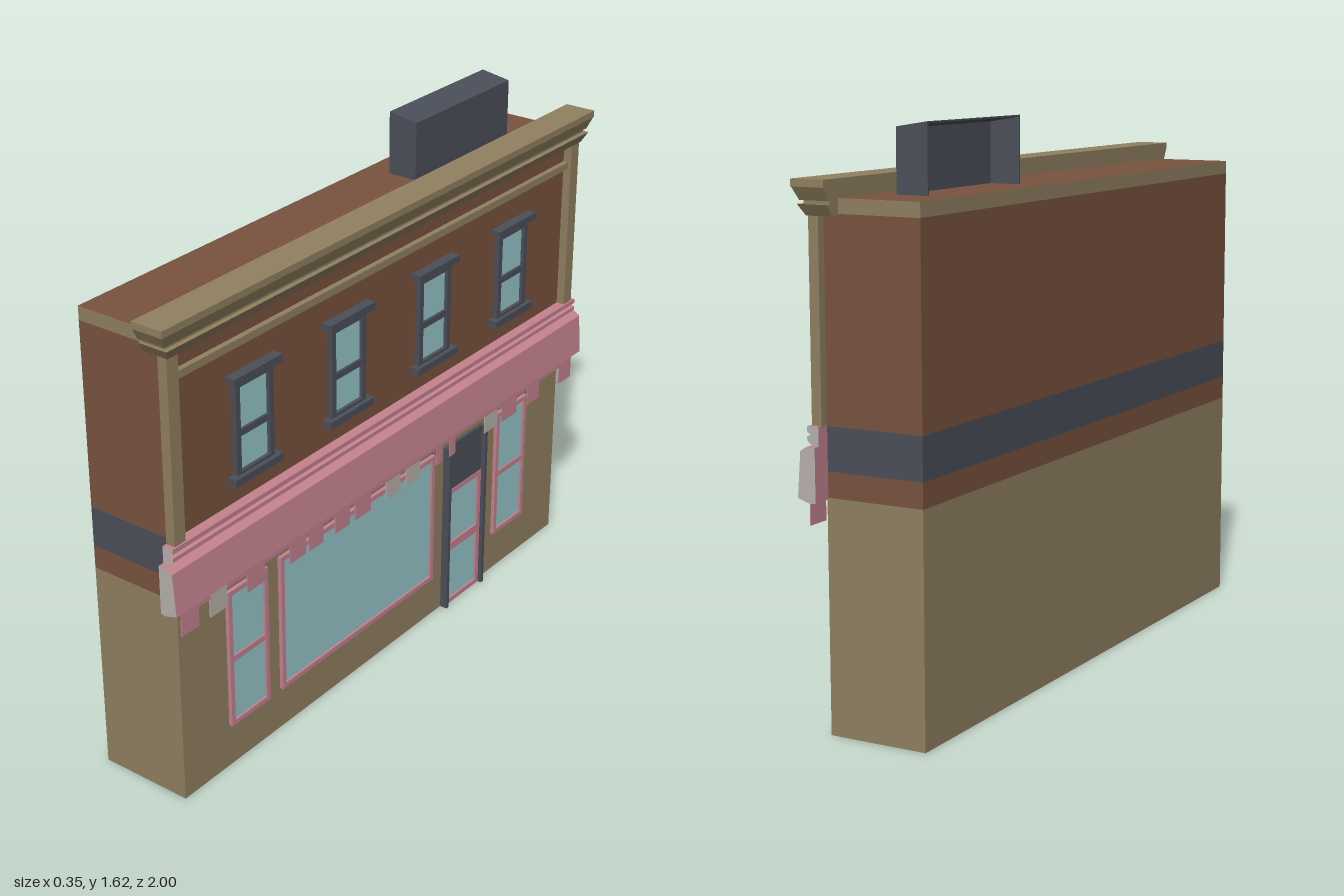
import * as THREE from 'three';

const mat = (name, color, side = THREE.FrontSide) => {
  const m = new THREE.MeshStandardMaterial({ color, side });
  m.name = name;
  return m;
};

export function createModel() {
  const root = new THREE.Group();
  root.name = 'shopBuilding';
  const tan = mat('tanStone', 0x918061);
  const brick = mat('brownBrick', 0x795340);
  const pink = mat('pinkPaint', 0xc5838f);
  const slate = mat('slateGrey', 0x4b4f59, THREE.DoubleSide);
  const glass = mat('paleBlueGlass', 0x96c7ca);
  const grey = mat('lightGrey', 0xb8b2ac);
  const WALL = 0.118;

  const add = (parent, name, geo, material) => {
    const mesh = new THREE.Mesh(geo, material);
    mesh.name = name;
    parent.add(mesh);
    return mesh;
  };
  // Box given by its limits on each axis
  const box = (parent, name, material, x0, x1, y0, y1, z0, z1) => {
    const geo = new THREE.BoxGeometry(x1 - x0, y1 - y0, z1 - z0);
    geo.translate((x0 + x1) / 2, (y0 + y1) / 2, (z0 + z1) / 2);
    return add(parent, name, geo, material);
  };
  // Profile in x,y run along z
  const run = (parent, name, materials, points, z0, z1) => {
    const shape = new THREE.Shape(points.map(([x, y]) => new THREE.Vector2(x, y)));
    const geo = new THREE.ExtrudeGeometry(shape, { depth: z1 - z0, bevelEnabled: false });
    geo.translate(0, 0, z0);
    return add(parent, name, geo, materials);
  };
  // Rectangular frame of four bars standing on the facade
  const frame = (parent, name, material, x0, x1, y0, y1, z0, z1, t) => {
    box(parent, name + 'Bottom', material, x0, x1, y0, y0 + t, z0, z1);
    box(parent, name + 'Top', material, x0, x1, y1 - t, y1, z0, z1);
    box(parent, name + 'SideA', material, x0, x1, y0 + t, y1 - t, z0, z0 + t);
    box(parent, name + 'SideB', material, x0, x1, y0 + t, y1 - t, z1 - t, z1);
  };
  const group = (name) => {
    const g = new THREE.Group();
    g.name = name;
    root.add(g);
    return g;
  };

  // Main block in horizontal bands, with a brick roof
  const body = group('walls');
  [
    ['groundWall', tan, 0, 0.645], ['lowerBrickBand', brick, 0.645, 0.715],
    ['slateBand', slate, 0.715, 0.835], ['upperWall', brick, 0.835, 1.385],
    ['parapetBand', [tan, tan, brick, tan, tan, tan], 1.385, 1.425],
  ].forEach(([name, m, y0, y1]) => box(body, name, m, -0.175, WALL, y0, y1, -0.935, 0.935));

  // Cornice: slabs whose lower edge draws in at the front and ends
  const cornice = group('cornice');
  [
    [1.455, 1.475, 0.17, 0.17, 1, 1], [1.42, 1.455, 0.157, 0.169, 0.98, 0.998],
    [1.41, 1.42, 0.15, 0.15, 0.972, 0.972], [1.38, 1.41, 0.15, 0.165, 0.962, 0.98],
  ].forEach(([y0, y1, xLow, xTop, zLow, zTop]) => {
    const slab = box(cornice, 'corniceSlab', tan, 0, 1, y0, y1, -1, 1);
    const p = slab.geometry.attributes.position;
    for (let i = 0; i < p.count; i++) {
      const top = p.getY(i) > (y0 + y1) / 2;
      p.setX(i, p.getX(i) > 0.5 ? (top ? xTop : xLow) : 0.07);
      p.setZ(i, p.getZ(i) * (top ? zTop : zLow));
    }
    slab.geometry.computeVertexNormals();
  });
  box(cornice, 'friezeMoulding', tan, WALL, 0.135, 1.3, 1.322, -0.918, 0.918);

  // Corner pilasters
  for (const s of [-1, 1]) {
    const a = s * 0.918, b = s * 0.96;
    box(root, 'pilaster', tan, 0.115, 0.145, 0.835, 1.385, Math.min(a, b), Math.max(a, b));
  }

  // Upper sash windows
  for (const z of [0.615, 0.205, -0.21, -0.62]) {
    const w = group('upperWindow');
    box(w, 'glass', glass, WALL, 0.124, 0.92, 1.2, z - 0.06, z + 0.06);
    frame(w, 'frame', slate, WALL, 0.135, 0.915, 1.2, z - 0.078, z + 0.078, 0.018);
    box(w, 'middleRail', slate, WALL, 0.132, 1.035, 1.055, z - 0.06, z + 0.06);
    box(w, 'lintel', slate, WALL, 0.15, 1.2, 1.222, z - 0.1, z + 0.1);
    box(w, 'sill', slate, WALL, 0.148, 0.902, 0.924, z - 0.1, z + 0.1);
  }

  // Shopfront awning with grey ends and a moulding above it
  const awning = group('awning');
  run(awning, 'awningBoard', [grey, pink],
    [[0.115, 0.64], [0.132, 0.638], [0.17, 0.65], [0.16, 0.775], [0.142, 0.787], [0.115, 0.787]],
    -0.993, 0.993);
  run(awning, 'awningMoulding', [grey, pink],
    [[0.115, 0.787], [0.135, 0.787], [0.15, 0.8], [0.15, 0.812], [0.138, 0.816], [0.15, 0.824],
      [0.15, 0.838], [0.115, 0.838]],
    -0.975, 0.975);

  // Hanging flaps under the awning: start and end along z
  const flaps = (name, material, list) => list.forEach(([z1, z0]) =>
    box(awning, name, material, 0.157, 0.16, 0.57, 0.648, z0, z1));
  flaps('pinkFlap', pink, [
    [0.965, 0.895], [0.695, 0.62], [0.51, 0.44], [0.425, 0.36], [0.305, 0.235], [0.21, 0.135],
    [-0.195, -0.225], [-0.265, -0.295], [-0.55, -0.635], [-0.7, -0.765], [-0.885, -0.955],
  ]);
  flaps('greyFlap', grey, [[0.85, 0.78], [0.06, -0.01], [-0.04, -0.11], [-0.455, -0.525]]);
  box(awning, 'flapHem', pink, 0.157, 0.16, 0.628, 0.648, -0.955, 0.965);

  // Shop windows
  [[0.572, 0.742, true], [-0.232, 0.515, false], [-0.742, -0.572, true]].forEach(([z0, z1, rail]) => {
    const w = group('shopWindow');
    box(w, 'glass', glass, WALL, 0.123, 0.145, 0.575, z0 + 0.005, z1 - 0.005);
    frame(w, 'frame', pink, WALL, 0.13, 0.137, 0.58, z0, z1, 0.015);
    if (rail) box(w, 'rail', pink, WALL, 0.128, 0.346, 0.364, z0 + 0.015, z1 - 0.015);
  });

  // Door with slate surround and panel above
  const door = group('door');
  for (const z of [-0.5, -0.305]) box(door, 'jamb', slate, WALL, 0.143, 0, 0.575, z, z + 0.012);
  box(door, 'overDoorPanel', slate, WALL, 0.128, 0.418, 0.575, -0.488, -0.305);
  box(door, 'glass', glass, WALL, 0.123, 0.005, 0.41, -0.485, -0.308);
  frame(door, 'doorFrame', pink, WALL, 0.13, 0, 0.418, -0.488, -0.305, 0.016);
  box(door, 'doorRail', pink, WALL, 0.13, 0.196, 0.224, -0.472, -0.321);

  // Roof hood, open at the back
  const hood = group('roofHood');
  run(hood, 'hoodShell', slate,
    [[-0.005, 1.42], [0, 1.42], [0, 1.6], [-0.095, 1.615], [-0.095, 1.61], [-0.005, 1.595]],
    -0.77, -0.29);
  for (const z of [-0.77, -0.295]) {
    run(hood, 'hoodEnd', slate, [[-0.095, 1.42], [-0.001, 1.42], [-0.001, 1.599], [-0.095, 1.614]], z, z + 0.005);
  }
  return root;
}
